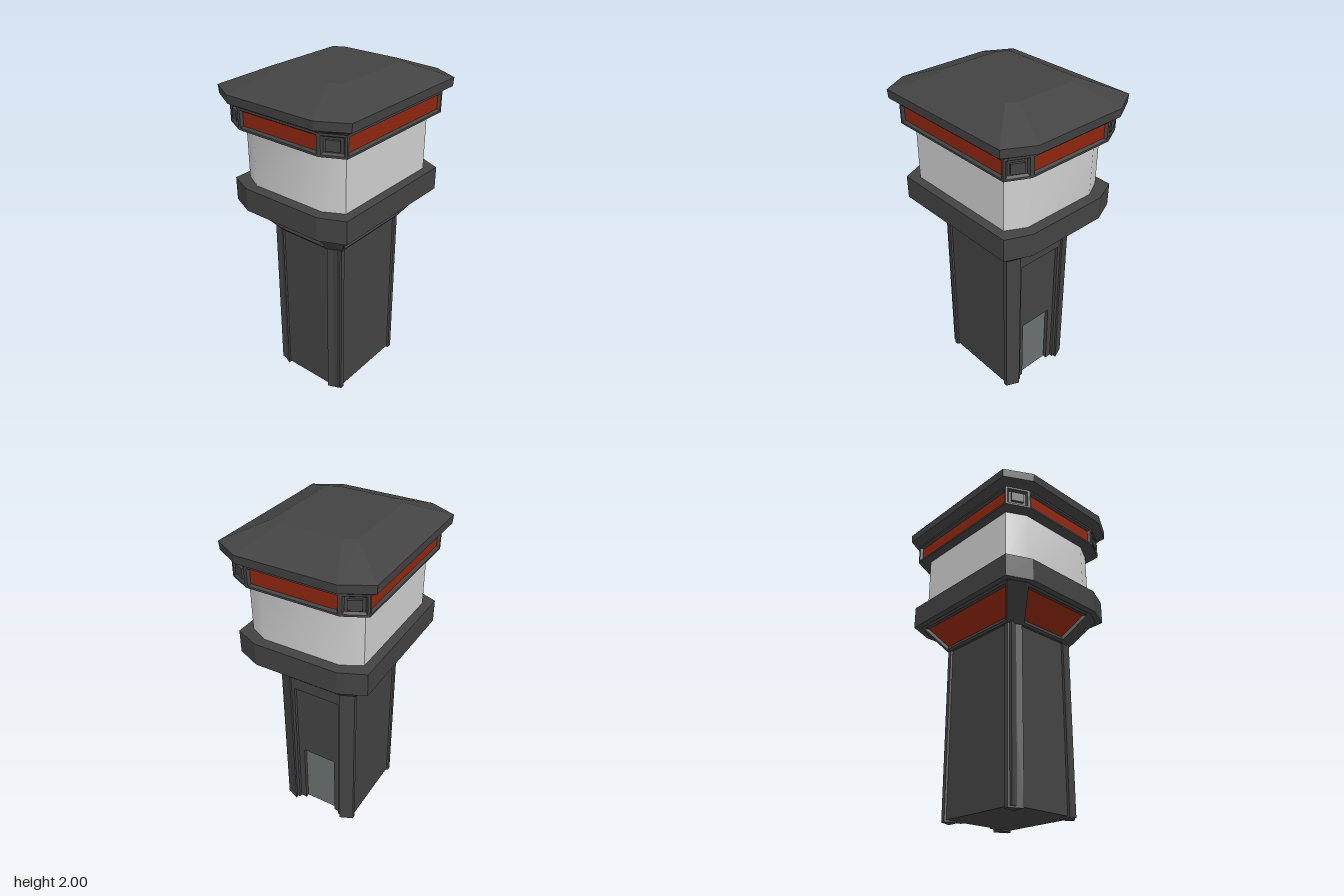
import * as THREE from 'three';
import { toCreasedNormals } from 'three/addons/utils/BufferGeometryUtils.js';

const material = (name, color) => Object.assign(new THREE.MeshStandardMaterial({ color }), { name });

// Flat-faced geometry from convex polygons
function faces(polygons) {
  const pos = [];
  for (const p of polygons)
    for (let i = 1; i < p.length - 1; i++)
      for (const v of [p[0], p[i], p[i + 1]]) pos.push(v.x, v.y, v.z);
  const geo = new THREE.BufferGeometry();
  geo.setAttribute('position', new THREE.Float32BufferAttribute(pos, 3));
  geo.computeVertexNormals();
  return geo;
}

// Eight-sided ring: (cx, z) and (x, cz) are the two ends of each cut corner
function ring(y, cx, z, x, cz) {
  return [[cx, z], [x, cz], [x, -cz], [cx, -z], [-cx, -z], [-x, -cz], [-x, cz], [-cx, z]]
    .map(([px, pz]) => new THREE.Vector3(px, y, pz));
}

// Side faces between two rings
function sides(a, b) {
  return a.map((p, i) => [p, a[(i + 1) % 8], b[(i + 1) % 8], b[i]]);
}

function loft(rings) {
  const polys = [[...rings[0]].reverse(), rings[rings.length - 1]];
  for (let i = 0; i < rings.length - 1; i++) polys.push(...sides(rings[i], rings[i + 1]));
  return faces(polys);
}

// Frame with a bevel sinking to an inner face; returns frame polygons and the inner face
function recess([a, b, c, d], margin, bevel, depth) {
  const normal = b.clone().sub(a).cross(d.clone().sub(a)).normalize();
  const height = a.clone().add(b).distanceTo(c.clone().add(d)) / 2;
  const inset = (m, sink) => {
    const v = m / height;
    const left = [a.clone().lerp(d, v), a.clone().lerp(d, 1 - v)];
    const right = [b.clone().lerp(c, v), b.clone().lerp(c, 1 - v)];
    const pick = (i, fromRight) => {
      const u = m / left[i].distanceTo(right[i]);
      return left[i].clone().lerp(right[i], fromRight ? 1 - u : u).addScaledVector(normal, -sink);
    };
    return [pick(0, false), pick(0, true), pick(1, true), pick(1, false)];
  };
  const loops = [[a, b, c, d], inset(margin, 0), inset(margin + bevel, depth)];
  const frame = [];
  for (let k = 0; k < 2; k++)
    for (let i = 0; i < 4; i++) {
      const j = (i + 1) % 4;
      frame.push([loops[k][i], loops[k][j], loops[k + 1][j], loops[k + 1][i]]);
    }
  return { frame, inner: loops[2], normal };
}

// Wall slab with a doorway-shaped notch open at the bottom
function notchedWall(halfW, top, halfOpen, openTop, z, depth) {
  const s = new THREE.Shape([
    [-halfW, 0.01], [-halfOpen, 0.01], [-halfOpen, openTop], [halfOpen, openTop],
    [halfOpen, 0.01], [halfW, 0.01], [halfW, top], [-halfW, top],
  ].map(([x, y]) => new THREE.Vector2(x, y)));
  return new THREE.ExtrudeGeometry(s, { depth, bevelEnabled: false }).translate(0, 0, z);
}

export function createModel() {
  const model = new THREE.Group();
  model.name = 'watchtower';
  const dark = material('darkGrey', 0x434343);
  const red = material('red', 0x8f2610);
  const glass = material('paleGlass', 0xcfcfcf);
  const doorGrey = material('doorGrey', 0x6a7070);
  const add = (name, geo, mat) => {
    const mesh = new THREE.Mesh(geo, mat);
    mesh.name = name;
    model.add(mesh);
    return mesh;
  };

  // Shaft core, layered back wall and door
  add('shaftCore', new THREE.BoxGeometry(0.48, 1.04, 0.53).translate(0, 0.53, 0.025), dark);
  add('backWall', notchedWall(0.2, 1.04, 0.15, 0.95, -0.29, 0.02), dark);
  add('doorSurround', notchedWall(0.2, 1.0, 0.11, 0.45, -0.27, 0.04), dark);
  add('door', new THREE.BoxGeometry(0.22, 0.44, 0.008).translate(0, 0.23, -0.242), doorGrey);

  // Chamfered corner pillars
  for (const sx of [-1, 1])
    for (const sz of [-1, 1]) {
      const outline = [[0.17, 0.305], [0.25, 0.27], [0.25, 0.245], [0.225, 0.23], [0.17, 0.23]]
        .map(([x, z]) => new THREE.Vector2(x * sx, z * sz));
      const geo = new THREE.ExtrudeGeometry(new THREE.Shape(outline), { depth: 1.04, bevelEnabled: false });
      add('cornerPillar', geo.rotateX(-Math.PI / 2), dark);
    }

  // Flared collar with sunken red panels on the four main sides
  const collarLow = ring(1.04, 0.17, 0.305, 0.255, 0.27);
  const collarHigh = ring(1.215, 0.27, 0.45, 0.375, 0.4);
  const collar = [[...collarLow].reverse()];
  const collarRed = [];
  sides(collarLow, collarHigh).forEach((quad, i) => {
    if (i % 2 === 0) return collar.push(quad);
    const panel = recess(quad, 0.016, 0.012, 0.016);
    collar.push(...panel.frame);
    collarRed.push(panel.inner);
  });
  add('collar', faces(collar), dark);
  add('collarPanels', faces(collarRed), red);

  // Deck and window band
  add('deck', loft([ring(1.215, 0.26, 0.49, 0.41, 0.425), ring(1.355, 0.26, 0.49, 0.41, 0.425)]), dark);
  const windowGeo = loft([ring(1.355, 0.24, 0.425, 0.355, 0.365), ring(1.7, 0.24, 0.425, 0.355, 0.365)]);
  add('windows', toCreasedNormals(windowGeo, 0.7), glass);

  // Upper band: red strips on the main sides, sunken lamp blocks on the corners
  const bandLow = ring(1.7, 0.278, 0.49, 0.41, 0.425);
  const bandHigh = ring(1.825, 0.278, 0.49, 0.41, 0.425);
  const band = [[...bandLow].reverse()];
  const bandRed = [];
  sides(bandLow, bandHigh).forEach((quad, i) => {
    const panel = recess(quad, 0.012, 0.01, 0.015);
    band.push(...panel.frame);
    if (i % 2) return bandRed.push(panel.inner);
    band.push(panel.inner);
    const block = add('cornerBlock', new THREE.BoxGeometry(0.075, 0.06, 0.03), dark);
    panel.inner.forEach((p) => block.position.addScaledVector(p, 0.25));
    block.rotation.y = Math.atan2(panel.normal.x, panel.normal.z);
  });
  add('upperBand', faces(band), dark);
  add('bandStrips', faces(bandRed), red);

  // Hipped roof with overhanging eaves
  add('roof', loft([
    ring(1.825, 0.278, 0.49, 0.41, 0.425),
    ring(1.855, 0.295, 0.54, 0.457, 0.452),
    ring(1.905, 0.295, 0.545, 0.46, 0.455),
    ring(2.0, 0.18, 0.29, 0.245, 0.257),
  ]), dark);

  return model;
}
